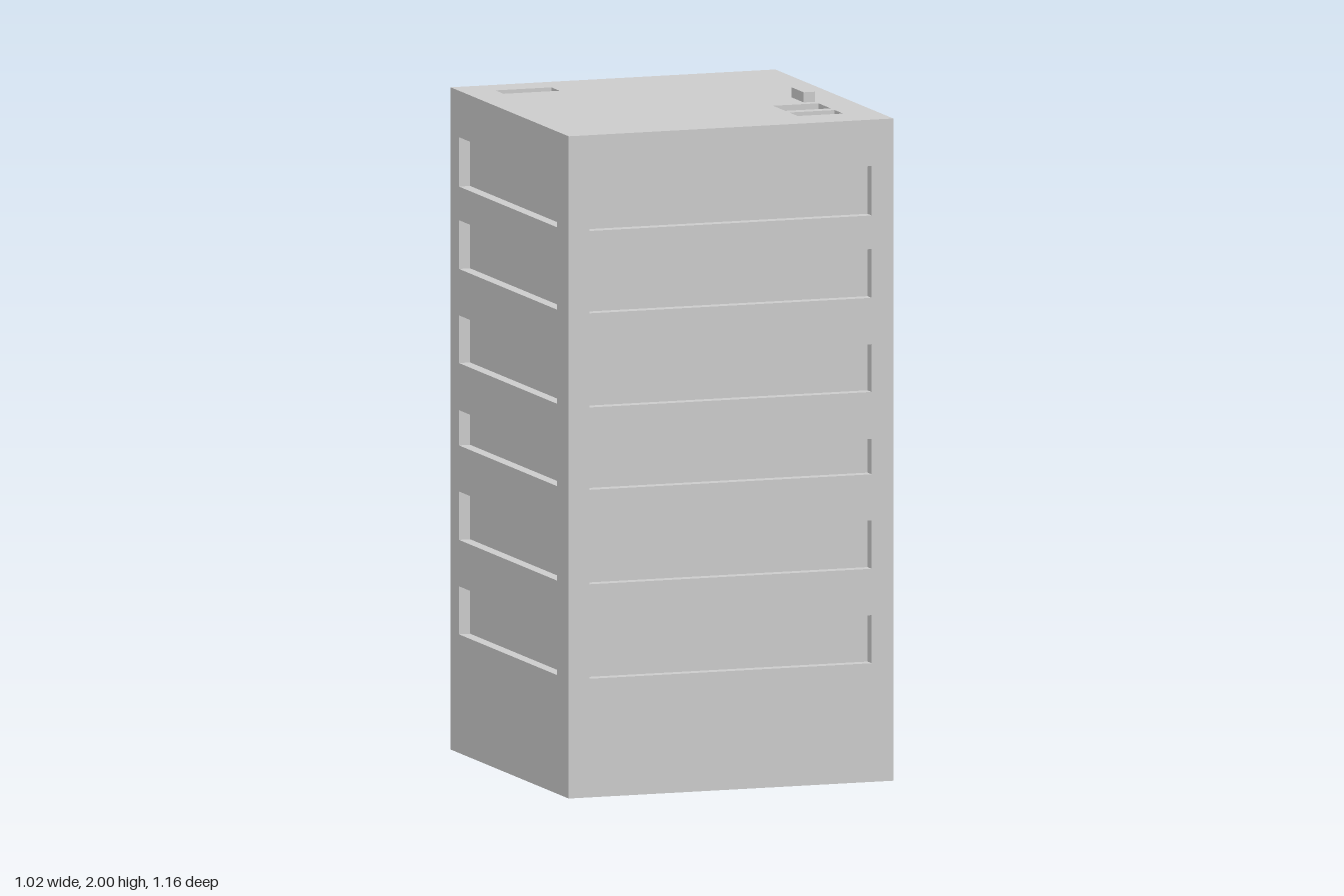
import * as THREE from 'three';

const material = new THREE.MeshStandardMaterial({ color: 0xcccccc, flatShading: true });

// Building limits and depth of the window recesses
const X = 0.508, BACK = -0.437, FRONT = 0.578, TOP = 1.97, D = 0.035, DOOR_DEPTH = 0.1;

function add(parent, name, geometry) {
  const mesh = new THREE.Mesh(geometry, material);
  mesh.name = name;
  parent.add(mesh);
  return mesh;
}

// Box given by its limits on each axis
function box(parent, name, [x0, x1], [y0, y1], [z0, z1]) {
  const mesh = add(parent, name, new THREE.BoxGeometry(x1 - x0, y1 - y0, z1 - z0));
  mesh.position.set((x0 + x1) / 2, (y0 + y1) / 2, (z0 + z1) / 2);
  return mesh;
}

function rectangle(path, [u0, u1, v0, v1]) {
  path.moveTo(u0, v0);
  path.lineTo(u1, v0);
  path.lineTo(u1, v1);
  path.lineTo(u0, v1);
  path.closePath();
  return path;
}

// Rectangular slab with rectangular openings, extruded along +z
function panel(parent, name, outline, openings, depth) {
  const shape = rectangle(new THREE.Shape(), outline);
  openings.forEach((o) => shape.holes.push(rectangle(new THREE.Path(), o)));
  return add(parent, name, new THREE.ExtrudeGeometry(shape, { depth, bevelEnabled: false }));
}

export function createModel() {
  const model = new THREE.Group();
  model.name = 'officeTower';

  // Solid core, forming the backs of all recesses
  box(model, 'core', [-X + D, X - D], [0, TOP - D], [BACK + DOOR_DEPTH, FRONT - D]);

  // Window bands on the front and both sides
  const rows = [[0.353, 0.496], [0.634, 0.778], [0.915, 1.02], [1.16, 1.302], [1.44, 1.585], [1.685, 1.832]];
  const bands = (u0, u1) => rows.map(([y0, y1]) => [u0, u1, y0, y1]);

  panel(model, 'frontWall', [-X, X, 0, TOP - D], bands(-0.443, 0.44), D).position.z = FRONT - D;

  // Local u runs along -z after the turn
  for (const [name, x] of [['leftWall', X - D], ['rightWall', -X]]) {
    const wall = panel(model, name, [-FRONT + D, -BACK, 0, TOP - D], bands(-0.478, 0.365), D);
    wall.rotation.y = Math.PI / 2;
    wall.position.x = x;
  }

  // Back wall with the recessed doorway
  const door = [0.05, 0.402];
  panel(model, 'backWall', [-X + D, X - D, 0, TOP - D], [[...door, D, 0.32]], DOOR_DEPTH).position.z = BACK;

  // Roof with shallow pits; local v runs along -z after the turn
  const pits = [[-0.405, -0.23, 0.265, 0.335], [0.26, 0.402, -0.33, -0.225], [0.26, 0.402, -0.437, -0.365]];
  const roof = panel(model, 'roof', [-X, X, -FRONT, -BACK], pits, D);
  roof.rotation.x = -Math.PI / 2;
  roof.position.y = TOP - D;
  box(model, 'roofVent', [0.367, 0.402], [TOP, 2], [0.088, 0.194]);

  // Entrance: canopy, step and a pair of stacked-block posts
  const entrance = new THREE.Group();
  entrance.name = 'entrance';
  model.add(entrance);
  box(entrance, 'canopy', door, [0.32, 0.355], [-0.58, BACK]);
  box(entrance, 'step', door, [0, D], [-0.508, BACK]);
  for (const [x0, x1] of [[-0.053, 0.015], [0.402, 0.472]]) {
    const post = new THREE.Group();
    post.name = 'entrancePost';
    entrance.add(post);
    const mid = (x0 + x1) / 2;
    box(post, 'postBase', [x0, x1], [0, 0.105], [-0.544, BACK]);
    box(post, 'postNeck', [mid - 0.018, mid + 0.018], [0.105, 0.14], [-0.508, -0.472]);
    box(post, 'postCap', [x0, x1], [0.14, 0.21], [-0.544, BACK]);
  }
  return model;
}
